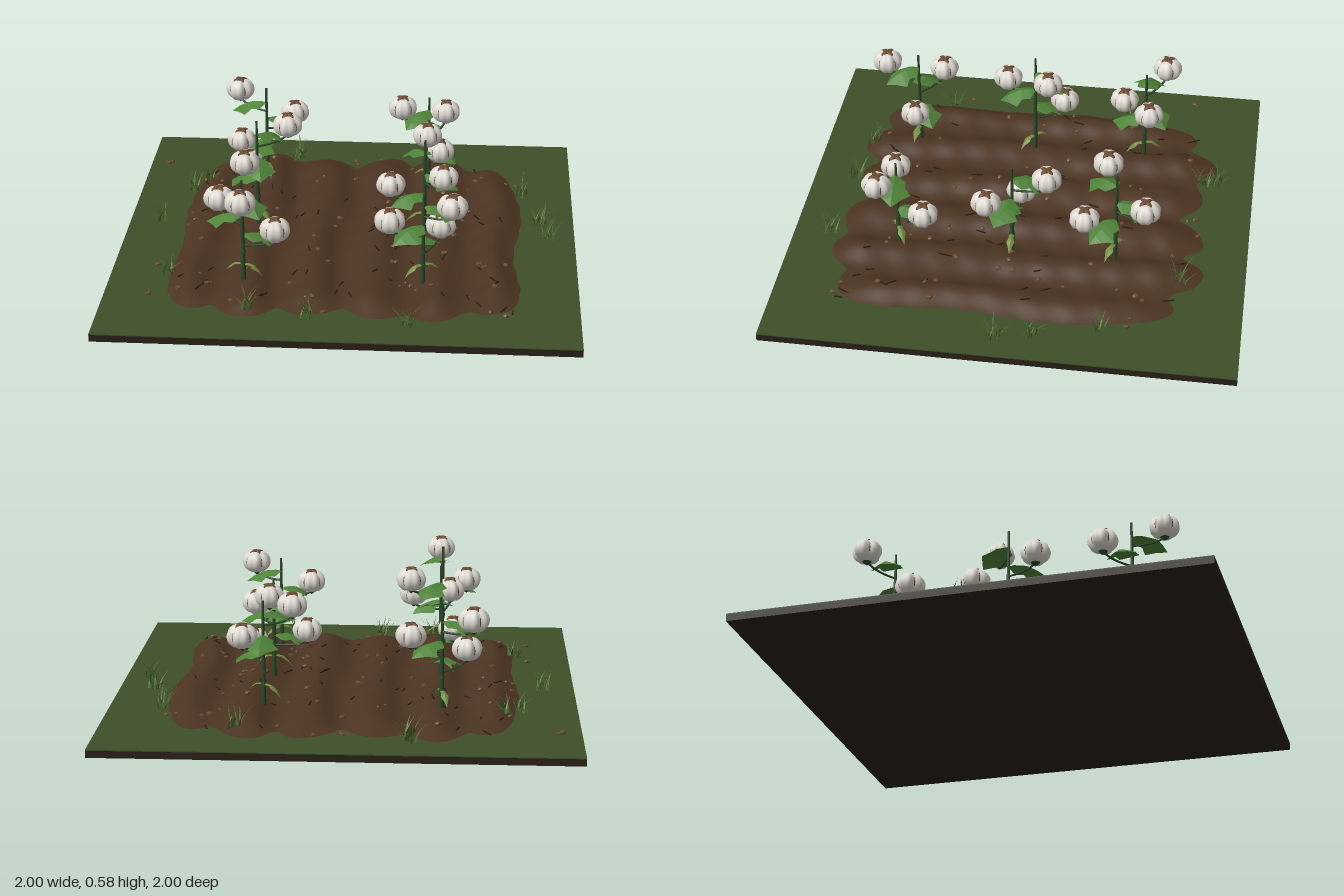
import * as THREE from 'three';
import { mergeGeometries } from 'three/addons/utils/BufferGeometryUtils.js';

let seed = 7;
const rand = (a = 0, b = 1) => {
  seed = (seed * 16807) % 2147483647;
  return a + (b - a) * (seed / 2147483647);
};
const V = (x, y, z) => new THREE.Vector3(x, y, z);
const mat = (color, extra = {}) => new THREE.MeshStandardMaterial({ color, ...extra });
const thin = { side: THREE.DoubleSide, flatShading: true };
const M = {
  earth: mat(0x2a2117), grass: mat(0x3e5029), soil: mat(0x4c3422),
  stem: mat(0x2c4a2a), leaf: mat(0x4f8438, thin), lowLeaf: mat(0x6f8c3a, thin),
  fibre: mat(0xdedad2), husk: mat(0x6b4a30), blade: mat(0x4d6b30, thin),
  pebble: mat(0x6a4a32, { flatShading: true }), twig: mat(0x2b1d13, { flatShading: true }),
};

function add(parent, name, geometry, material, x = 0, y = 0, z = 0) {
  const mesh = new THREE.Mesh(geometry, material);
  mesh.name = name;
  mesh.position.set(x, y, z);
  parent.add(mesh);
  return mesh;
}

// Move every vertex of a geometry by a rule
function warp(geometry, rule) {
  const p = geometry.attributes.position, v = V(0, 0, 0);
  for (let i = 0; i < p.count; i++) {
    v.fromBufferAttribute(p, i);
    rule(v, i);
    p.setXYZ(i, v.x, v.y, v.z);
  }
  geometry.computeVertexNormals();
  return geometry;
}

// Furrowed bed: six ridges along z, sinking under the grass at a wavy border
function soilHeight(x, z) {
  const wobble = 0.025 * Math.sin(9 * x + 2) + 0.025 * Math.sin(8 * z);
  const d = Math.pow(Math.abs(x) ** 6 + Math.abs(z) ** 6, 1 / 6) + wobble;
  const env = 1 - THREE.MathUtils.smoothstep(d, 0.64, 0.86);
  const xs = x + 0.008 * Math.sin(7 * z);
  const ridge = 0.5 - 0.5 * Math.cos((2 * Math.PI * xs) / 0.265);
  const lumps = 0.004 * Math.sin(31 * x + 17 * z) * Math.sin(23 * z - 11 * x);
  return 0.022 + env * (0.018 + 0.038 * ridge + lumps);
}
const groundHeight = (x, z) => Math.max(0.034, soilHeight(x, z));

// Angular lobed leaf running along +z, folded on its midrib and drooping
function leafGeometry(length, width) {
  const outline = [[0, 0.06], [0.16, 0.62], [0.4, 0.62], [0.55, 1], [0.78, 0.5], [1, 0.02]];
  return warp(new THREE.PlaneGeometry(2, 1, 2, 5), (v, i) => {
    const [t, w] = outline[Math.floor(i / 3)], side = (i % 3) - 1;
    v.set(side * w * width / 2, -Math.abs(side) * w * width * 0.22 + 0.04 * t - 0.09 * t * t, t * length);
  });
}

// Boll: four plump lobes with fine ribs
const bollGeometry = warp(new THREE.SphereGeometry(1, 48, 16), (v) => {
  const a = Math.atan2(v.z, v.x);
  const seam = Math.abs(Math.sin(2 * a)) ** 7, rib = Math.abs(Math.cos(2 * a)) ** 16;
  const r = 0.066 * (1 - 0.22 * seam - 0.07 * rib);
  const dent = 0.012 * Math.max(0, 1 - Math.hypot(v.x, v.z) * 2);
  v.set(v.x * r, v.y * 0.055 - Math.sign(v.y) * dent, v.z * r);
});
const coreGeometry = new THREE.SphereGeometry(1, 16, 10).scale(0.053, 0.051, 0.053);
// Four husk tips spread over the crown
const crownGeometry = mergeGeometries([0, 1, 2, 3].map((k) =>
  new THREE.SphereGeometry(1, 8, 6).scale(0.019, 0.006, 0.011).rotateZ(-0.3)
    .translate(0.017, 0.048, 0).rotateY(Math.PI / 4 + k * Math.PI / 2)));
const calyxGeometry = new THREE.ConeGeometry(0.03, 0.025, 8).rotateX(Math.PI).translate(0, -0.052, 0);

function boll(parent, x, y, z) {
  const g = new THREE.Group();
  g.name = 'boll';
  g.position.set(x, y, z);
  g.rotation.y = rand(-0.25, 0.25);
  add(g, 'bollFibre', bollGeometry, M.fibre);
  add(g, 'bollCore', coreGeometry, M.husk);
  add(g, 'bollCrown', crownGeometry, M.husk);
  add(g, 'bollCalyx', calyxGeometry, M.stem);
  parent.add(g);
}

function plant(root, [x, z, top, bolls]) {
  const g = new THREE.Group();
  g.name = 'plant';
  root.add(g);
  const base = groundHeight(x, z) - 0.015;
  add(g, 'stem', new THREE.CylinderGeometry(0.005, 0.011, top - base, 8), M.stem, x, (top + base) / 2, z);
  for (const y of [0.15, 0.21]) add(g, 'stemNode', new THREE.CylinderGeometry(0.011, 0.013, 0.012, 8), M.stem, x, y, z);
  for (const [bx, by, bz] of bolls) {
    const dx = bx - x, dz = bz - z;
    // Branch curving up into the boll
    const curve = new THREE.QuadraticBezierCurve3(
      V(x, by - 0.075, z), V(x + dx * 0.75, by - 0.08, z + dz * 0.75), V(bx, by - 0.045, bz));
    add(g, 'branch', new THREE.TubeGeometry(curve, 8, 0.005, 6), M.stem);
    boll(g, bx, by, bz);
    const leaf = add(g, 'leaf', leafGeometry(0.16, 0.15), M.leaf, x, by - 0.03, z);
    leaf.rotation.y = Math.atan2(dx, dz) + 0.5;
  }
  // Small leaves low on the stem
  for (let k = 0; k < 2; k++) {
    const low = add(g, 'lowLeaf', leafGeometry(0.085, 0.035), M.lowLeaf, x, 0.15, z);
    low.rotation.y = 1.2 + k * Math.PI + x + z;
  }
}

// Tuft of bent, tapering blades
function tuft(root, x, z) {
  const blades = [];
  for (let k = 0; k < 12; k++) {
    const h = rand(0.04, 0.095), lean = rand(0.02, 0.075), w = rand(0.004, 0.007);
    blades.push(warp(new THREE.PlaneGeometry(1, 1, 1, 3), (v) => {
      const t = v.y + 0.5;
      v.set(v.x * 2 * w * (1 - 0.95 * t), h * t, lean * t * t);
    }).rotateY(rand(0, 6.28)).translate(rand(-0.025, 0.025), 0, rand(-0.025, 0.025)));
  }
  add(root, 'grassTuft', mergeGeometries(blades), M.blade, x, groundHeight(x, z) - 0.003, z);
}

export function createModel() {
  seed = 7;
  const root = new THREE.Group();
  root.name = 'cropField';

  // Ground
  add(root, 'earthSlab', new THREE.BoxGeometry(2, 0.03, 2), M.earth, 0, 0.015, 0);
  add(root, 'grassLayer', new THREE.BoxGeometry(2, 0.004, 2), M.grass, 0, 0.032, 0);
  add(root, 'soilBed', warp(new THREE.PlaneGeometry(1.86, 1.86, 100, 80).rotateX(-Math.PI / 2),
    (v) => { v.y = soilHeight(v.x, v.z); }), M.soil);

  // Plants: stem x, z, top, then boll centres
  [
    [-0.42, -0.485, 0.52, [[-0.55, 0.48, -0.57], [-0.29, 0.395, -0.51], [-0.525, 0.305, -0.38]]],
    [-0.41, 0.02, 0.57, [[-0.465, 0.32, -0.11], [-0.28, 0.525, -0.055], [-0.45, 0.43, 0.15]]],
    [-0.415, 0.56, 0.535, [[-0.525, 0.405, 0.46], [-0.28, 0.31, 0.555], [-0.405, 0.5, 0.7]]],
    [0.335, -0.43, 0.515, [[0.41, 0.395, -0.56], [0.215, 0.485, -0.38], [0.39, 0.31, -0.3]]],
    [0.33, 0.02, 0.5, [[0.335, 0.46, -0.13], [0.18, 0.275, 0], [0.415, 0.37, 0.12]]],
    [0.34, 0.52, 0.48, [[0.41, 0.275, 0.395], [0.2, 0.365, 0.55], [0.46, 0.45, 0.58]]],
  ].forEach((p) => plant(root, p));

  // Grass around the border
  [[-0.3, -0.84], [-0.29, -0.77], [-0.69, -0.47], [-0.76, -0.4], [-0.86, -0.06], [-0.75, 0.46],
    [-0.38, 0.77], [-0.13, 0.81], [0.28, 0.84], [0.77, -0.42], [0.85, -0.14], [0.88, 0.02],
    [0.43, -0.72]].forEach(([x, z]) => tuft(root, x, z));

  // Pebbles and dry twigs scattered on the ground
  const pebbles = [], twigs = [];
  for (let k = 0; k < 70; k++) {
    const s = k < 56 ? 0.78 : 0.94, x = rand(-s, s), z = rand(-s, s), r = rand(0.007, 0.014);
    pebbles.push(new THREE.DodecahedronGeometry(r).scale(1.2, 0.7, 1)
      .rotateY(rand(0, 6)).translate(x, groundHeight(x, z) + r * 0.3, z));
  }
  for (let k = 0; k < 60; k++) {
    const x = rand(-0.72, 0.72), z = rand(-0.72, 0.72);
    twigs.push(new THREE.BoxGeometry(0.005, 0.004, rand(0.03, 0.06))
      .rotateY(rand(-0.8, 0.8)).translate(x, groundHeight(x, z) + 0.002, z));
  }
  add(root, 'pebbles', mergeGeometries(pebbles), M.pebble);
  add(root, 'twigs', mergeGeometries(twigs), M.twig);
  return root;
}
